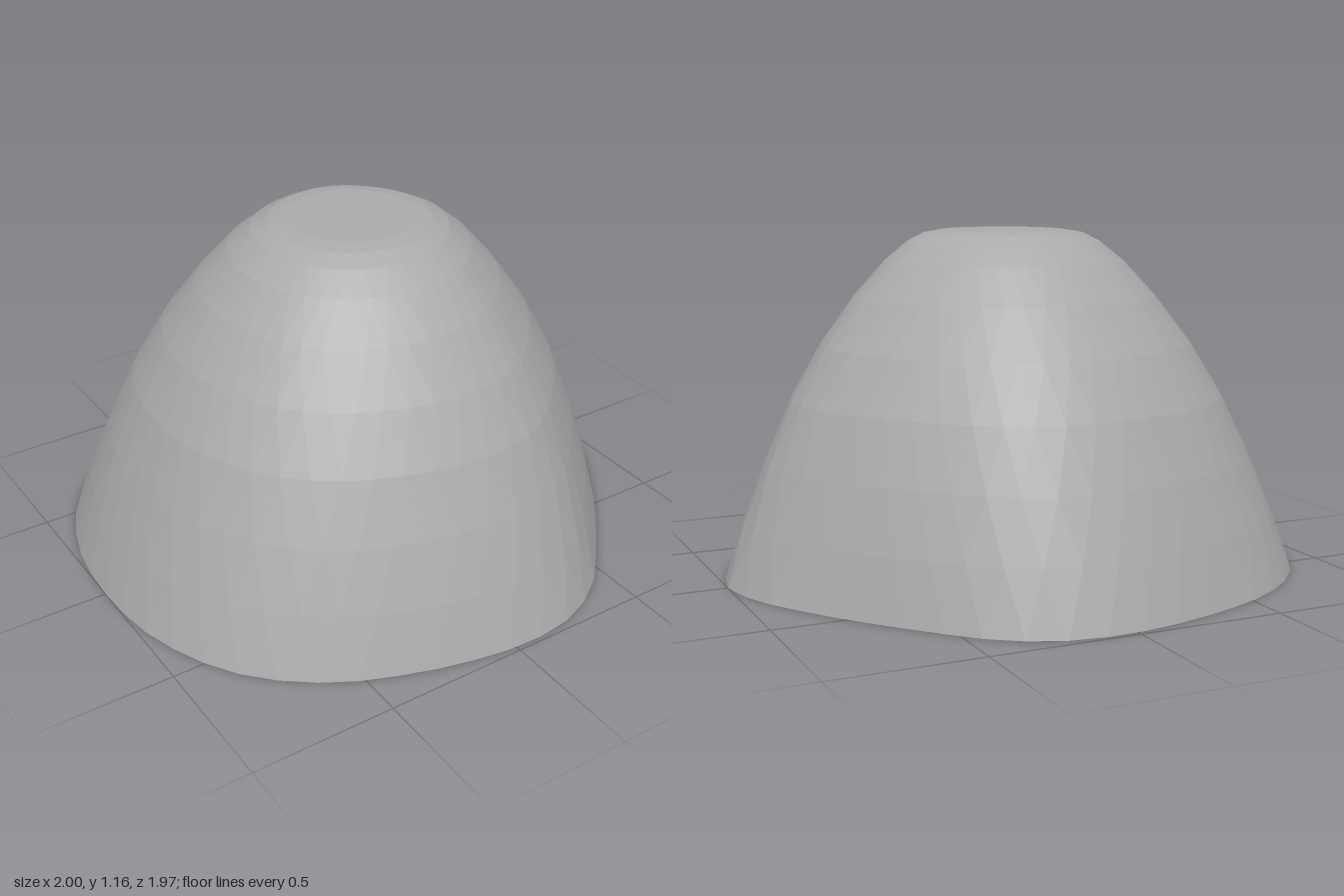
import * as THREE from 'three';

const SEGMENTS = 48;

// Half of the lobed footprint (x, z); the other half is its mirror.
const HALF_OUTLINE = [
  [1, 0], [0.95, 0.19], [0.85, 0.36], [0.74, 0.515], [0.585, 0.7], [0.42, 0.87],
  [0.25, 0.96], [0.07, 0.985], [-0.12, 0.965], [-0.35, 0.905], [-0.61, 0.79],
  [-0.83, 0.59], [-0.965, 0.3], [-1, 0],
];

// Dome profile from the base to the flat crown: scale of the footprint, height.
const PROFILE = [
  [1, 0], [0.93, 0.2], [0.85, 0.4], [0.758, 0.6], [0.65, 0.78], [0.53, 0.94],
  [0.42, 1.06], [0.34, 1.125], [0.28, 1.155], [0.22, 1.165],
];

function buildDome() {
  const mirrored = HALF_OUTLINE.slice(1, -1).reverse().map(([x, z]) => [x, -z]);
  const outline = new THREE.CatmullRomCurve3(
    [...HALF_OUTLINE, ...mirrored].map(([x, z]) => new THREE.Vector3(x, 0, z)), true);
  const height = PROFILE[PROFILE.length - 1][1];
  const positions = [];
  const index = [];

  // Rings, each turned by half a step, growing rounder towards the crown
  PROFILE.forEach(([scale, y], row) => {
    for (let i = 0; i < SEGMENTS; i++) {
      const p = outline.getPointAt(((i + row / 2) / SEGMENTS) % 1);
      p.lerp(p.clone().normalize(), 0.7 * y / height).multiplyScalar(scale);
      positions.push(p.x, y, p.z);
    }
  });
  const at = (row, i) => row * SEGMENTS + (i % SEGMENTS);

  // Triangular facets between the rings
  for (let row = 0; row < PROFILE.length - 1; row++) {
    for (let i = 0; i < SEGMENTS; i++) {
      index.push(at(row, i), at(row + 1, i), at(row, i + 1));
      index.push(at(row, i + 1), at(row + 1, i), at(row + 1, i + 1));
    }
  }

  // Flat crown and underside
  const crown = positions.length / 3;
  positions.push(0, height, 0, 0, 0, 0);
  for (let i = 0; i < SEGMENTS; i++) {
    const top = PROFILE.length - 1;
    index.push(at(top, i), crown, at(top, i + 1));
    index.push(at(0, i + 1), crown + 1, at(0, i));
  }

  const indexed = new THREE.BufferGeometry();
  indexed.setAttribute('position', new THREE.Float32BufferAttribute(positions, 3));
  indexed.setIndex(index);
  const geometry = indexed.toNonIndexed();
  geometry.computeVertexNormals();
  return geometry;
}

export function createModel() {
  const stone = new THREE.MeshStandardMaterial({ color: 0xaaaaaa, flatShading: true });
  stone.name = 'stone grey';
  const dome = new THREE.Mesh(buildDome(), stone);
  dome.name = 'rockDome';
  const model = new THREE.Group();
  model.name = 'rock';
  model.add(dome);
  return model;
}
